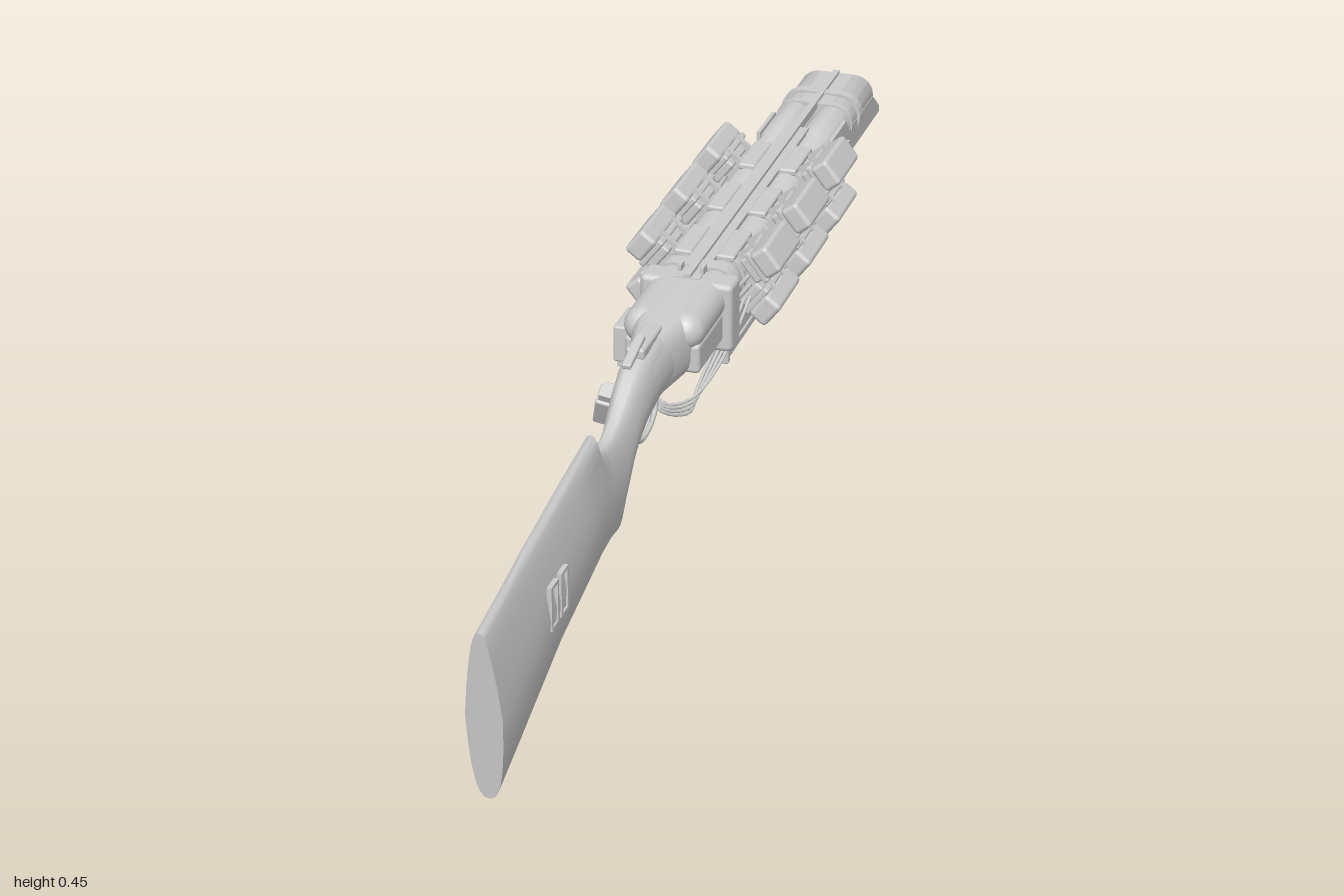
import * as THREE from 'three';
import { toCreasedNormals } from 'three/addons/utils/BufferGeometryUtils.js';
import { RoundedBoxGeometry } from 'three/addons/geometries/RoundedBoxGeometry.js';

const grey = new THREE.MeshStandardMaterial({ color: 0xcccccc });
const greyOpen = new THREE.MeshStandardMaterial({ color: 0xcccccc, side: THREE.DoubleSide });

export function createModel() {
  const root = new THREE.Group();

  const add = (name, geo, parent = root, mat = grey) => {
    const m = new THREE.Mesh(geo, mat);
    m.name = name;
    parent.add(m);
    return m;
  };
  // box from min/max ranges
  const box = (name, x0, x1, y0, y1, z0, z1, r = 0, parent = root) => {
    const s = [x1 - x0, y1 - y0, z1 - z0];
    const g = r ? new RoundedBoxGeometry(...s, 2, r) : new THREE.BoxGeometry(...s);
    g.translate((x0 + x1) / 2, (y0 + y1) / 2, (z0 + z1) / 2);
    return add(name, g, parent);
  };
  // (z, y) outline extruded across x
  const sideProfile = (name, pts, x0, x1) => {
    const s = new THREE.Shape(pts.map(p => new THREE.Vector2(...p)));
    const g = new THREE.ExtrudeGeometry(s, { depth: x1 - x0, bevelEnabled: false });
    g.rotateY(-Math.PI / 2).translate(x1, 0, 0);
    return add(name, g);
  };
  const cable = (name, pts, r = 0.004) => {
    const c = new THREE.CatmullRomCurve3(pts.map(p => new THREE.Vector3(...p)));
    return add(name, new THREE.TubeGeometry(c, 24, r, 6));
  };
  // loft of rounded sections [zTop, zBottom, yTop, yBottom, halfWidth, topNarrowing], front to back
  const loft = (name, rows, power = 0.75, n = 28) => {
    const pos = [], idx = [];
    const sp = v => Math.sign(v) * Math.abs(v) ** power;
    for (const [zt, zb, yt, yb, w, nar] of rows) {
      for (let j = 0; j < n; j++) {
        const a = (j / n) * Math.PI * 2, s = sp(Math.sin(a)), t = (s + 1) / 2;
        const k = s > 0 ? 1 - nar * s : 1 + 0.25 * nar * s;
        pos.push(w * sp(Math.cos(a)) * k, yb + (yt - yb) * t, zb + (zt - zb) * t);
      }
    }
    const last = rows.length - 1;
    for (let i = 0; i < last; i++) for (let j = 0; j < n; j++) {
      const a = i * n + j, b = i * n + (j + 1) % n;
      idx.push(a, a + n, b + n, a, b + n, b);
    }
    for (let j = 1; j < n - 1; j++) {
      idx.push(0, j, j + 1, last * n, last * n + j + 1, last * n + j);
    }
    const g = new THREE.BufferGeometry();
    g.setAttribute('position', new THREE.Float32BufferAttribute(pos, 3));
    g.setIndex(idx);
    return add(name, toCreasedNormals(g, 0.7));
  };

  // Stock with stepped comb, grip and wrist
  loft('stock', [
    [1, 0.975, 0.31, 0.004, 0.03, 0.45], [0.9, 0.9, 0.325, 0.034, 0.033, 0.5],
    [0.8, 0.8, 0.34, 0.073, 0.034, 0.5], [0.7, 0.7, 0.353, 0.11, 0.034, 0.5],
    [0.6, 0.6, 0.366, 0.133, 0.034, 0.5], [0.49, 0.5, 0.379, 0.155, 0.033, 0.5],
    [0.48, 0.48, 0.345, 0.16, 0.032, 0.4], [0.44, 0.44, 0.334, 0.16, 0.028, 0.3],
    [0.41, 0.4, 0.337, 0.155, 0.026, 0.2], [0.38, 0.375, 0.347, 0.19, 0.026, 0.2],
    [0.345, 0.35, 0.368, 0.235, 0.028, 0.2], [0.31, 0.33, 0.39, 0.262, 0.03, 0.2],
    [0.27, 0.28, 0.408, 0.29, 0.033, 0.2], [0.23, 0.23, 0.416, 0.305, 0.036, 0.2],
    [0.16, 0.16, 0.42, 0.31, 0.042, 0.2],
  ]);

  // Strap slots on both sides of the stock
  for (const s of [-1, 1]) for (const z of [0.72, 0.765]) {
    const slot = new THREE.Group();
    slot.name = 'strapSlot';
    slot.position.set(s * 0.032, 0.23, z);
    root.add(slot);
    for (const d of [-0.014, 0.014]) box('slotSide', -0.004, 0.004, -0.038, 0.038, d - 0.003, d + 0.003, 0, slot);
    for (const d of [-0.036, 0.036]) box('slotEnd', -0.004, 0.004, d - 0.003, d + 0.003, -0.015, 0.015, 0, slot);
  }

  // Receiver with two rounded breeches
  loft('receiver', [
    [0.2, 0.2, 0.418, 0.308, 0.036, 0.2], [0.14, 0.14, 0.421, 0.308, 0.05, 0.1],
    [0.1, 0.1, 0.423, 0.308, 0.056, 0], [-0.02, -0.02, 0.423, 0.308, 0.058, 0],
  ], 0.6);
  for (const s of [-1, 1]) {
    const g = new THREE.CapsuleGeometry(0.033, 0.2, 8, 24);
    g.rotateX(Math.PI / 2).translate(s * 0.037, 0.389, 0.01);
    add('breech', g);
  }
  box('hingeBlock', -0.082, 0.082, 0.297, 0.422, -0.055, 0, 0.01);
  box('receiverPlate', -0.066, 0.066, 0.318, 0.372, -0.01, 0.13, 0.008);

  // Top lever, hammers and rear sight
  box('leverBase', -0.016, 0.016, 0.405, 0.424, 0.17, 0.27, 0.005);
  const lever = box('topLever', -0.008, 0.008, -0.005, 0.005, -0.04, 0.04, 0.003);
  lever.position.set(0, 0.422, 0.275);
  lever.rotation.x = 0.25;
  for (const s of [-1, 1]) box('sightPost', s * 0.02 - 0.003, s * 0.02 + 0.003, 0.415, 0.435, -0.05, -0.03);

  // Trigger guard and triggers
  cable('triggerGuard', [[0, 0.305, 0.16], [0, 0.262, 0.165], [0, 0.243, 0.195], [0, 0.24, 0.235], [0, 0.258, 0.268], [0, 0.295, 0.275]], 0.005);
  for (const z of [0.195, 0.23]) cable('trigger', [[0, 0.31, z], [0, 0.28, z - 0.006], [0, 0.257, z + 0.008]], 0.004);

  // Twin hollow barrels
  for (const s of [-1, 1]) {
    const pts = [[0.033, 0.02], [0.033, 0.66], [0.036, 0.665], [0.036, 0.955], [0.033, 0.96], [0.029, 0.96], [0.029, 0.02]];
    const g = new THREE.LatheGeometry(pts.map(p => new THREE.Vector2(...p)), 28);
    g.rotateX(-Math.PI / 2).translate(s * 0.035, 0.386, 0);
    add('barrel', toCreasedNormals(g, 0.6), root, greyOpen);
  }
  box('topRail', -0.022, 0.022, 0.408, 0.424, -0.68, -0.01);
  box('railRib', -0.006, 0.006, 0.415, 0.43, -0.95, -0.01);
  box('underRail', -0.02, 0.02, 0.338, 0.37, -0.68, -0.01);

  // Muzzle cradle with flared lip
  sideProfile('muzzleCradle', [[-0.66, 0.335], [-0.66, 0.35], [-0.94, 0.35], [-1, 0.347], [-1, 0.334]], -0.072, 0.072);
  for (const s of [-1, 1]) {
    const a = s * 0.072, b = s * 0.065;
    sideProfile('cradleCheek', [[-0.66, 0.337], [-0.66, 0.412], [-0.76, 0.412], [-0.78, 0.385], [-0.95, 0.385], [-1, 0.346], [-1, 0.337]],
      Math.min(a, b), Math.max(a, b));
    box('cheekPanel', s * 0.073 - 0.004, s * 0.073 + 0.004, 0.35, 0.37, -0.77, -0.7);
  }
  box('muzzleBridge', -0.035, 0.035, 0.348, 0.366, -0.955, -0.68);
  box('muzzleTop', -0.035, 0.035, 0.405, 0.424, -0.955, -0.8, 0.005);

  // Bands that wrap both barrels
  const bandShape = (grow) => {
    const s = new THREE.Shape(), r = 0.036 + grow;
    s.absarc(0.035, 0, r, -Math.PI / 2, Math.PI / 2);
    s.absarc(-0.035, 0, r, Math.PI / 2, Math.PI * 1.5);
    return s;
  };
  const band = (name, z, len, grow) => {
    const g = new THREE.ExtrudeGeometry(bandShape(grow), { depth: len, bevelEnabled: false, curveSegments: 14 });
    const hole = new THREE.Path();
    hole.absellipse(0, 0, 0.001, 0.001, 0, Math.PI * 2);
    g.translate(0, 0.386, z - len / 2);
    return add(name, toCreasedNormals(g, 0.6));
  };
  band('muzzleBand', -0.8, 0.012, 0.003);
  band('muzzleBand', -0.85, 0.02, 0.006);
  band('rearBand', -0.07, 0.03, 0.004);

  // Three stations, each carrying four angled canisters
  for (const z of [-0.16, -0.347, -0.537]) {
    for (const d of [-0.042, 0.042]) band('clampBand', z + d, 0.022, 0.002);
    for (const s of [-1, 1]) {
      box('clampPlate', s * 0.038 - 0.016, s * 0.038 + 0.016, 0.415, 0.427, z - 0.055, z + 0.055, 0.004);
      box('sideBracket', s * 0.07 - 0.008, s * 0.07 + 0.008, 0.355, 0.408, z - 0.04, z + 0.04, 0.004);
      for (const v of [-1, 1]) {
        const c = new THREE.Group();
        c.name = 'canister';
        c.position.set(s * 0.126, 0.381 + v * 0.056, z);
        c.rotation.z = s > 0 ? v * 0.66 : Math.PI - v * 0.66;
        root.add(c);
        box('canisterCap', -0.036, 0, -0.026, 0.026, -0.064, 0.064, 0.008, c);
        box('canisterFlange', -0.046, -0.034, -0.031, 0.031, -0.058, 0.058, 0.004, c);
        box('canisterBody', -0.062, -0.044, -0.025, 0.025, -0.053, 0.053, 0.005, c);
        box('canisterNeck', -0.085, -0.06, -0.018, 0.018, -0.04, 0.04, 0, c);
        for (const d of [-0.03, 0.03]) box('canisterStrap', -0.07, -0.03, -0.033, 0.033, d - 0.005, d + 0.005, 0, c);
      }
    }
  }

  // Power box under the barrels with end plates and raised side frames
  box('powerBox', -0.03, 0.03, 0.21, 0.342, -0.435, -0.135, 0.006);
  for (const z of [-0.437, -0.14]) box('boxEndPlate', -0.036, 0.036, 0.204, 0.345, z - 0.007, z + 0.007, 0.004);
  for (const s of [-1, 1]) {
    for (const y of [0.218, 0.325]) box('boxRim', s * 0.031 - 0.003, s * 0.031 + 0.003, y - 0.006, y + 0.006, -0.43, -0.14);
    for (const z of [-0.41, -0.165]) box('boxLatch', s * 0.032 - 0.004, s * 0.032 + 0.004, 0.225, 0.32, z - 0.006, z + 0.006);
  }

  // Connector housing and hanging plug on the right side
  box('connectorBox', -0.092, -0.053, 0.31, 0.376, 0.03, 0.11, 0.004);
  box('connectorBase', -0.088, -0.057, 0.296, 0.312, 0.04, 0.1);
  const plug = new THREE.Group();
  plug.name = 'plug';
  plug.position.set(-0.085, 0.263, 0.175);
  plug.rotation.set(0.5, 0, -0.25);
  root.add(plug);
  box('plugBody', -0.014, 0.014, -0.035, 0.03, -0.02, 0.02, 0.004, plug);
  box('plugCollar', -0.01, 0.01, 0.03, 0.045, -0.014, 0.014, 0, plug);

  // Loose cable loops below the receiver
  for (let i = 0; i < 6; i++) {
    const x = -0.045 - i * 0.007, low = 0.2 + i * 0.011;
    cable('loopCable', [[x - 0.005, 0.305, 0.05 + i * 0.007], [x, low + 0.03, 0.045], [x + 0.01, low, 0.085],
      [x, low + 0.02, 0.125 + i * 0.004], [x - 0.01, 0.29, 0.15]], 0.003);
  }
  for (let i = 0; i < 4; i++) {
    const d = i * 0.008;
    cable('sideCable', [[0.085 - d, 0.36, -0.1 + d], [0.075 - d, 0.315, -0.05], [0.055 - d, 0.262 - d, 0.03],
      [0.035, 0.245 - d, 0.085], [0, 0.25, 0.12 + d], [-0.04, 0.29, 0.1]], 0.003);
  }
  // Feeds to the power box and runs along the barrels
  for (const s of [-1, 1]) {
    cable('boxFeed', [[s * 0.03, 0.31, -0.05], [s * 0.035, 0.29, -0.075], [s * 0.03, 0.235, -0.11], [s * 0.02, 0.22, -0.14]], 0.004);
    for (const y of [0.372, 0.392]) cable('barrelCable', [[s * 0.072, y, -0.04], [s * 0.08, y, -0.16], [s * 0.076, y, -0.35], [s * 0.08, y, -0.54], [s * 0.068, y, -0.62]], 0.004);
  }
  return root;
}
